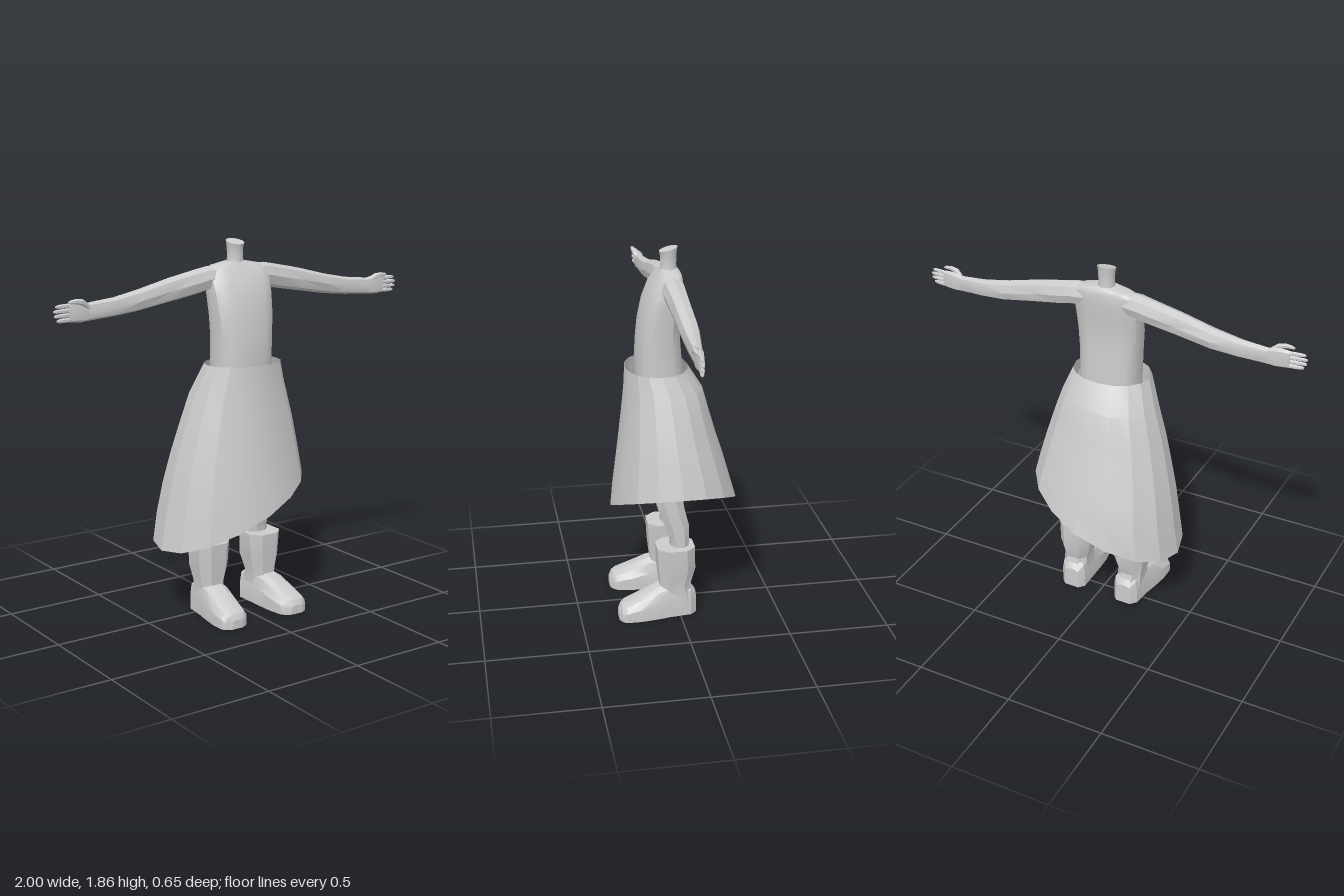
import * as THREE from 'three';
import { toCreasedNormals } from 'three/addons/utils/BufferGeometryUtils.js';

const material = new THREE.MeshStandardMaterial({ color: 0xcccccc });
const clothMaterial = new THREE.MeshStandardMaterial({ color: 0xcccccc, side: THREE.DoubleSide });

// Closed superellipse section of n corners; place(u, v) maps it into space.
function ring(n, power, place, turn = 0) {
  const points = [];
  for (let i = 0; i < n; i++) {
    const a = ((i + turn) / n) * Math.PI * 2;
    const bend = (t) => Math.sign(t) * Math.pow(Math.abs(t), 2 / power);
    points.push(place(bend(Math.sin(a)), bend(Math.cos(a))));
  }
  return points;
}

// Skin between rings, with optional end caps; faces are turned outward.
function loft(name, rings, { capped = true, crease = 0.6, mat = material } = {}) {
  const tris = [];
  const n = rings[0].length;
  for (let r = 0; r < rings.length - 1; r++) {
    for (let i = 0; i < n; i++) {
      const j = (i + 1) % n;
      const [a, b, c, d] = [rings[r][i], rings[r][j], rings[r + 1][j], rings[r + 1][i]];
      tris.push([a, b, c], [a, c, d]);
    }
  }
  if (capped) {
    const first = rings[0], last = rings[rings.length - 1];
    for (let i = 1; i < n - 1; i++) {
      tris.push([first[0], first[i + 1], first[i]], [last[0], last[i], last[i + 1]]);
    }
  }
  const cross = new THREE.Vector3();
  const volume = tris.reduce((sum, [a, b, c]) => sum + a.dot(cross.crossVectors(b, c)), 0);
  if (volume < 0) tris.forEach((t) => t.reverse());
  const geometry = new THREE.BufferGeometry().setFromPoints(tris.flat());
  const mesh = new THREE.Mesh(toCreasedNormals(geometry, crease), mat);
  mesh.name = name;
  return mesh;
}

const v3 = (x, y, z) => new THREE.Vector3(x, y, z);

// Horizontal section: centre x, half width, back z, front z.
const level = (n, power, y, cx, w, back, front, turn = 0) =>
  ring(n, power, (u, v) => v3(cx + u * w, y, (front + back) / 2 + v * (front - back) / 2), turn);

// Linear interpolation in rows of [y, value], y descending.
function sample(rows, y) {
  for (let i = 0; i < rows.length - 1; i++) {
    const [y0, a] = rows[i], [y1, b] = rows[i + 1];
    if (y >= y1) return a + (b - a) * (y0 - y) / (y0 - y1);
  }
  return rows[rows.length - 1][1];
}

function makeTorso() {
  const rows = [
    [0.88, 0.11, 0.01, 0.12], [0.98, 0.16, -0.03, 0.15], [1.12, 0.155, -0.04, 0.175],
    [1.27, 0.15, -0.04, 0.19], [1.4, 0.155, -0.028, 0.182], [1.5, 0.163, -0.022, 0.17],
    [1.6, 0.17, -0.03, 0.147], [1.67, 0.175, -0.036, 0.118], [1.72, 0.165, -0.036, 0.085],
    [1.74, 0.13, -0.032, 0.07], [1.755, 0.05, -0.02, 0.062],
  ];
  return loft('torso', rows.map(([y, w, b, f]) => level(16, 2.8, y, 0, w, b, f)));
}

// Neck stump, with its cut sloping down to the front
function makeNeck() {
  const rows = [[1.73, 0.046, 0], [1.77, 0.039, 0], [1.82, 0.04, 0], [1.848, 0.045, 0.012]];
  return loft('neck', rows.map(([y, r, tilt]) =>
    ring(12, 2, (u, v) => v3(u * r, y - v * tilt, 0.023 + v * r))));
}

// Flared skirt with a slanted hem, longer on the right
function makeSkirt() {
  const width = [[1.27, 0.2], [1.13, 0.25], [0.95, 0.305], [0.72, 0.362], [0.36, 0.42]];
  const front = [[1.27, 0.24], [1.1, 0.25], [0.8, 0.285], [0.53, 0.322], [0.36, 0.325]];
  const back = [[1.27, -0.07], [1.17, -0.14], [0.95, -0.2], [0.8, -0.25], [0.54, -0.325], [0.36, -0.33]];
  const rings = [];
  for (let row = 0; row <= 6; row++) {
    rings.push(ring(16, 2.08, (u, v) => {
      let hem = 0.54;
      for (let i = 0; i < 12; i++) hem = 0.54 + 0.433 * u * sample(width, hem);
      const y = 1.27 + (hem - 1.27) * row / 6;
      const f = sample(front, y), b = sample(back, y);
      return v3(u * sample(width, y), y, (f + b) / 2 + v * (f - b) / 2);
    }));
  }
  return loft('skirt', rings, { capped: false, crease: 0.36, mat: clothMaterial });
}

function makeArm(side) {
  const arm = new THREE.Group();
  arm.name = side > 0 ? 'leftArm' : 'rightArm';

  // Sections: x, bottom y, top y, back z, front z
  const section = (n, power, [x, y0, y1, z0, z1]) => ring(n, power, (u, v) =>
    v3(side * x, (y0 + y1) / 2 + v * (y1 - y0) / 2, (z0 + z1) / 2 + u * (z1 - z0) / 2));
  const sleeve = [
    [0.1, 1.63, 1.738, -0.03, 0.08], [0.17, 1.622, 1.738, -0.034, 0.08],
    [0.23, 1.608, 1.727, -0.032, 0.075], [0.38, 1.583, 1.697, -0.026, 0.07],
    [0.55, 1.555, 1.655, -0.024, 0.066], [0.68, 1.542, 1.63, -0.008, 0.062],
    [0.82, 1.533, 1.617, 0.012, 0.056],
  ];
  const palm = [
    [0.8, 1.537, 1.614, 0.014, 0.054], [0.85, 1.53, 1.624, 0.014, 0.058],
    [0.89, 1.532, 1.625, 0.02, 0.056], [0.92, 1.535, 1.622, 0.026, 0.052],
  ];
  arm.add(loft('sleeve', sleeve.map((r) => section(8, 2.3, r))));
  arm.add(loft('palm', palm.map((r) => section(8, 2.8, r))));

  // Four fingers stacked vertically
  [0.985, 0.997, 1, 0.99].forEach((tip, i) => {
    const y = 1.546 + i * 0.0215;
    const finger = [[0.9, 0.0105, 0.038], [0.95, 0.0105, 0.043], [tip - 0.012, 0.009, 0.047], [tip, 0.005, 0.048]];
    arm.add(loft('finger', finger.map(([x, r, z]) => section(6, 2, [x, y - r, y + r, z - r, z + r]))));
  });

  const thumb = [
    [0.825, 1.6, 0.045, 0.016], [0.855, 1.622, 0.056, 0.016],
    [0.89, 1.63, 0.062, 0.012], [0.92, 1.629, 0.062, 0.009], [0.932, 1.628, 0.06, 0.004],
  ];
  arm.add(loft('thumb', thumb.map(([x, y, z, r]) => section(6, 2, [x, y - r, y + r, z - r, z + r]))));
  return arm;
}

function makeLeg(side) {
  const leg = new THREE.Group();
  leg.name = side > 0 ? 'leftLeg' : 'rightLeg';

  // Rows: y, centre x, half width, back z, front z
  const limb = [
    [0.3, 0.15, 0.055, -0.045, 0.04], [0.4, 0.15, 0.058, -0.055, 0.045],
    [0.48, 0.148, 0.062, -0.055, 0.075], [0.56, 0.146, 0.062, -0.035, 0.105],
    [0.7, 0.14, 0.068, -0.01, 0.135], [0.85, 0.11, 0.075, -0.02, 0.145],
    [1.0, 0.085, 0.075, -0.025, 0.15],
  ];
  const shaft = [
    [0.03, 0.157, 0.068, -0.085, 0.09], [0.1, 0.157, 0.07, -0.08, 0.1],
    [0.165, 0.158, 0.069, -0.062, 0.102], [0.25, 0.155, 0.09, -0.085, 0.112],
    [0.37, 0.155, 0.097, -0.083, 0.118],
  ];
  const build = (name, rows, power, crease) => loft(name, rows.map(([y, x, w, b, f]) =>
    level(8, power, y, side * x, w, b, f, 0.5)), { crease });
  leg.add(build('limb', limb, 2.2, 0.7), build('bootShaft', shaft, 2.6, 0.45));

  // Foot rows: z, centre x, half width at sole, half width on top, height
  const foot = [
    [-0.085, 0.152, 0.04, 0.035, 0.11], [-0.055, 0.153, 0.066, 0.058, 0.15],
    [0.05, 0.16, 0.071, 0.06, 0.165], [0.11, 0.166, 0.077, 0.058, 0.158],
    [0.2, 0.174, 0.082, 0.058, 0.118], [0.275, 0.18, 0.075, 0.056, 0.085],
    [0.295, 0.182, 0.06, 0.046, 0.072], [0.31, 0.182, 0.032, 0.028, 0.045],
  ];
  const outline = [[-1, 0, 0], [-1, 0.55, 0], [-1, 0.88, 1], [-0.5, 1, 1], [0.5, 1, 1], [1, 0.88, 1], [1, 0.55, 0], [1, 0, 0]];
  leg.add(loft('bootFoot', foot.map(([z, x, sole, top, h]) =>
    outline.map(([u, v, upper]) => v3(side * (x + u * (upper ? top : sole)), v * h, z))), { crease: 0.45 }));
  return leg;
}

export function createModel() {
  const model = new THREE.Group();
  model.name = 'headlessFigure';
  model.add(makeTorso(), makeNeck(), makeSkirt());
  for (const side of [1, -1]) model.add(makeArm(side), makeLeg(side));
  return model;
}
